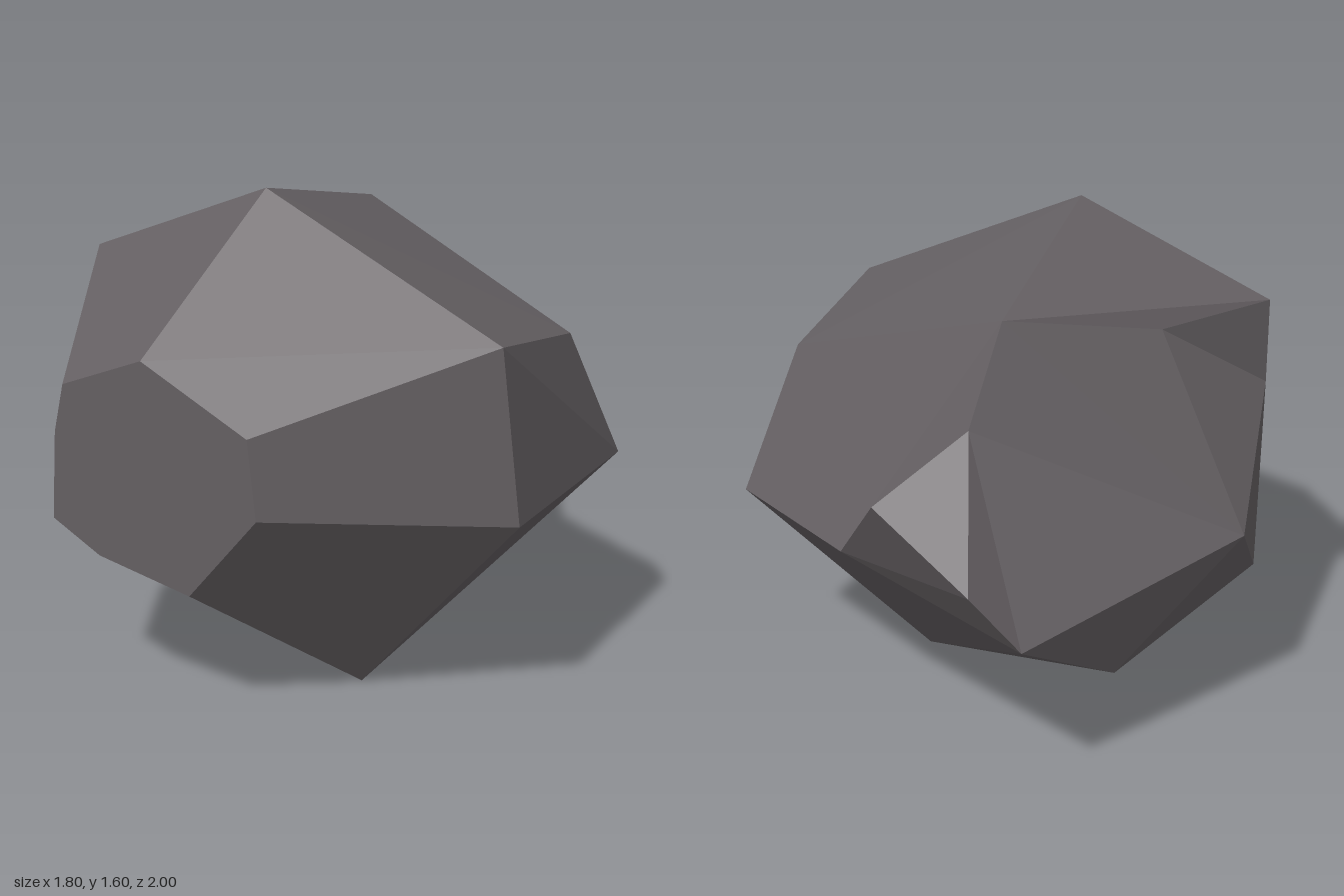
import * as THREE from 'three';

// Outward-facing polygons become a flat-shaded surface, each one fanned from its first corner.
function facetedGeometry(polygons) {
  const pos = [];
  for (const p of polygons) {
    for (let i = 1; i < p.length - 1; i++) pos.push(...p[0], ...p[i], ...p[i + 1]);
  }
  const g = new THREE.BufferGeometry();
  g.setAttribute('position', new THREE.Float32BufferAttribute(pos, 3));
  g.computeVertexNormals();
  return g;
}

const ring = (points, z) => points.map(([x, y]) => [x, y, z]);

export function createModel() {
  const stone = new THREE.MeshStandardMaterial({ color: 0x645f62, flatShading: true });
  stone.name = 'dark grey stone';

  // Flat front facet and the widest cross-section, both clockwise from the top
  const a = ring([[-0.09, 1.15], [0.31, 0.97], [0.34, 0.72], [0.08, 0.43],
    [-0.28, 0.49], [-0.47, 0.58], [-0.45, 0.87], [-0.41, 1.03]], 1);
  const b = ring([[-0.05, 1.6], [0.83, 1.2], [0.9, 0.645], [0.32, 0],
    [-0.47, 0.15], [-0.75, 0.36], [-0.76, 1.05], [-0.76, 1.34]], 0.41);

  // Shoulder corners behind the widest section
  const top = [-0.23, 1.44, -0.46];
  const upperLeft = [0.73, 1.11, -0.2];
  const left = [0.79, 0.65, -0.46];
  const bottom = [0.235, 0.06, -0.16];
  const lowerRight = [-0.64, 0.32, -0.46];
  const right = [-0.9, 0.7, -0.06];
  const upperRight = [-0.55, 1.32, 0.02];

  // Corners of the rear knob
  const knobTop = [-0.23, 1.15, -0.67];
  const notch = [0.23, 0.65, -0.71];
  const knobLeft = [-0.07, 0.98, -0.975];
  const knobBack = [-0.42, 0.77, -1];
  const knobBase = [-0.55, 0.58, -0.91];

  // Front cap and the band sloping back from it
  const front = [[...a].reverse()];
  a.forEach((p, i) => {
    const j = (i + 1) % a.length;
    front.push([p, a[j], b[j], b[i]]);
  });

  // Sides tapering to the rear
  const rear = [
    [b[0], b[1], upperLeft, top],
    [b[1], b[2], left, upperLeft],
    [b[3], bottom, left, b[2]],
    [bottom, b[3], b[4], b[5], lowerRight, knobBase],
    [b[5], b[6], right, lowerRight],
    [lowerRight, right, knobBase],
    [b[6], b[7], upperRight, right],
    [b[7], b[0], top, upperRight],
    [right, upperRight, top, knobTop, knobBase],
    [top, upperLeft, left, notch, knobTop],
  ];

  // Rear knob with the notch beside it
  const knob = [
    [knobTop, notch, knobLeft, knobBack, knobBase],
    [notch, left, bottom, knobBase, knobBack, knobLeft],
  ];

  const rock = new THREE.Group();
  rock.name = 'rock';
  for (const [name, polygons] of Object.entries({ frontFacets: front, rearFacets: rear, rearKnob: knob })) {
    const mesh = new THREE.Mesh(facetedGeometry(polygons), stone);
    mesh.name = name;
    rock.add(mesh);
  }
  return rock;
}
